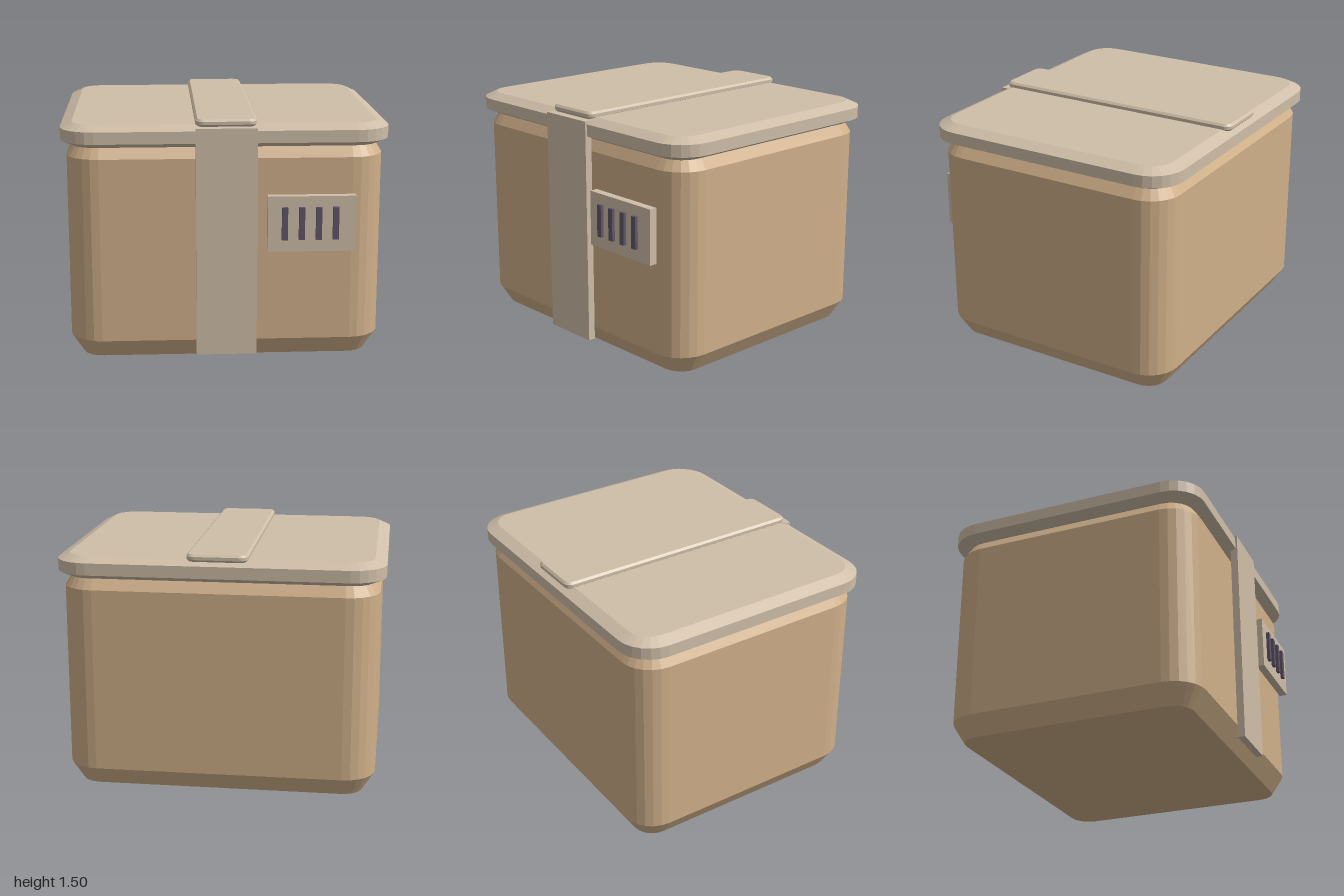
import * as THREE from 'three';

const mat = (name, color) => {
  const m = new THREE.MeshStandardMaterial({ color });
  m.name = name;
  return m;
};

// Rounded-corner slab lying flat, chamfered at its top and bottom rims
function slab(x0, x1, y0, y1, z0, z1, radius, inset, chamferHeight, cornerSteps = 3) {
  const w = (x1 - x0) / 2, d = (z1 - z0) / 2, r = radius;
  const s = new THREE.Shape();
  s.moveTo(w, r - d);
  s.lineTo(w, d - r);
  s.absarc(w - r, d - r, r, 0, Math.PI / 2);
  s.absarc(r - w, d - r, r, Math.PI / 2, Math.PI);
  s.absarc(r - w, r - d, r, Math.PI, Math.PI * 1.5);
  s.absarc(w - r, r - d, r, Math.PI * 1.5, Math.PI * 2);
  const g = new THREE.ExtrudeGeometry(s, {
    depth: y1 - y0 - 2 * chamferHeight,
    curveSegments: cornerSteps,
    bevelEnabled: true,
    bevelSegments: 1,
    bevelThickness: chamferHeight,
    bevelSize: inset,
    bevelOffset: -inset,
  });
  g.rotateX(-Math.PI / 2);
  g.translate((x0 + x1) / 2, y0 + chamferHeight, (z0 + z1) / 2);
  return g;
}

// Plain box given by its limits
function block(x0, x1, y0, y1, z0, z1) {
  const g = new THREE.BoxGeometry(x1 - x0, y1 - y0, z1 - z0);
  g.translate((x0 + x1) / 2, (y0 + y1) / 2, (z0 + z1) / 2);
  return g;
}

export function createModel() {
  const cardboard = mat('tan body', 0xd0b08a);
  const beige = mat('beige trim', 0xcfbea8);
  const purple = mat('dark purple', 0x60566a);

  const model = new THREE.Group();
  model.name = 'storageBox';
  const add = (name, geometry, material) => {
    const mesh = new THREE.Mesh(geometry, material);
    mesh.name = name;
    model.add(mesh);
  };

  // Container, its top chamfer tucked under the lid
  add('body', slab(-0.965, 0.965, 0, 1.385, -0.84, 0.79, 0.2, 0.075, 0.12), cardboard);
  add('lid', slab(-1, 1, 1.33, 1.47, -0.874, 0.824, 0.21, 0.072, 0.033), beige);

  // Strap over the lid and down the front
  add('topStrap', slab(-0.185, 0.185, 1.458, 1.503, -0.854, 0.8, 0.05, 0.013, 0.013), beige);
  add('frontStrap', block(-0.185, 0.185, 0.04, 1.455, 0.79, 0.836), beige);

  // Label plate with four upright bars
  add('labelPlate', block(0.246, 0.781, 0.7, 1.043, 0.805, 0.856), beige);
  for (let i = 0; i < 4; i++) {
    const x = 0.348 + i * 0.103;
    add('labelBar' + (i + 1), block(x - 0.018, x + 0.018, 0.776, 0.977, 0.85, 0.876), purple);
  }
  return model;
}
